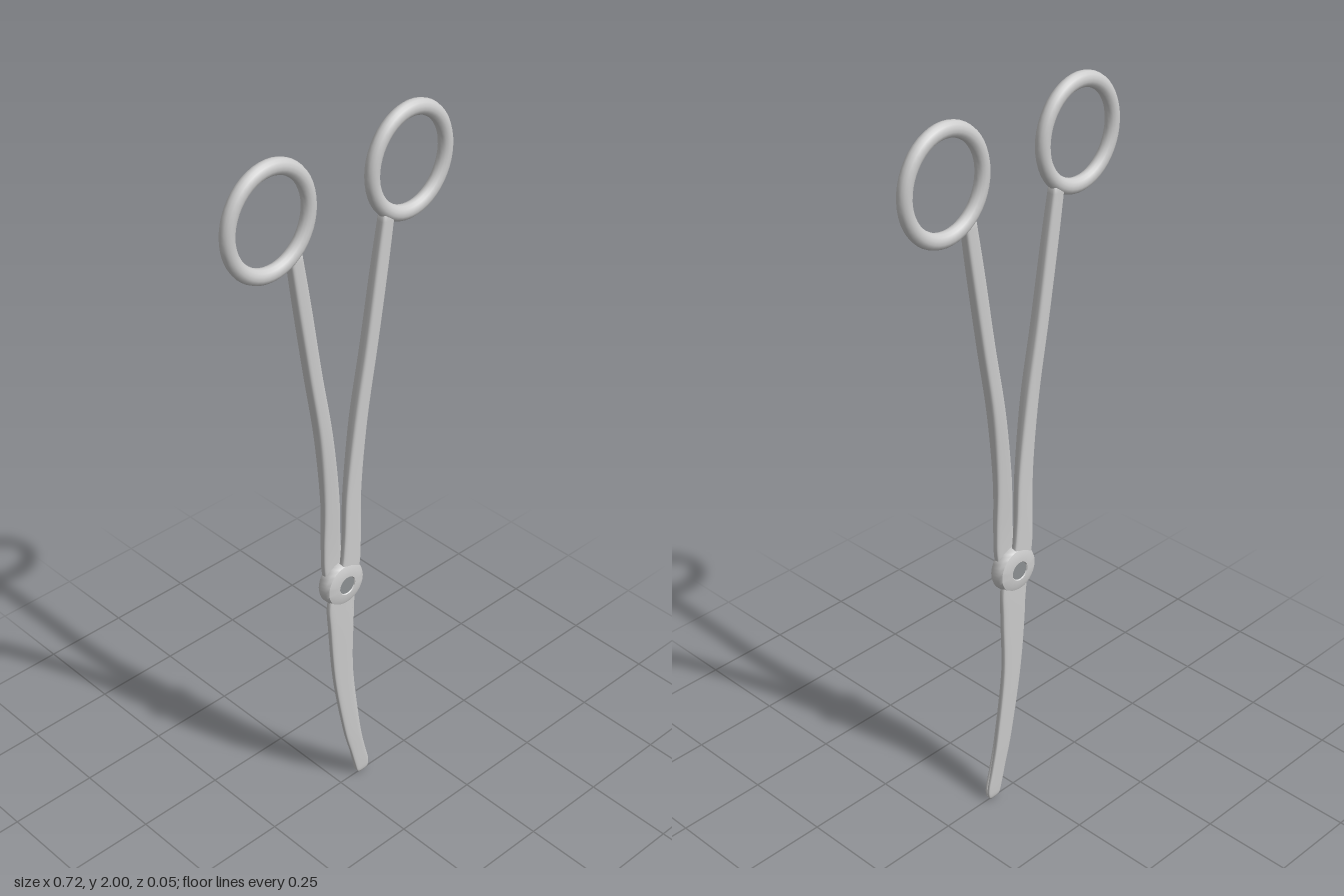
import * as THREE from 'three';
import { toCreasedNormals } from 'three/addons/utils/BufferGeometryUtils.js';

const steel = new THREE.MeshStandardMaterial({ color: 0xcccccc });
const darkSteel = new THREE.MeshStandardMaterial({ color: 0x8c9092 });

// Handle shank, from ring down to pivot: [y, xInner, xOuter, zBack, zFront]
const SHANK = [
  [1.75, 0.13, 0.168, -0.014, 0.014],
  [1.6, 0.104, 0.146, -0.016, 0.016],
  [1.4, 0.072, 0.114, -0.017, 0.017],
  [1.2, 0.036, 0.081, -0.017, 0.017],
  [1.0, 0.008, 0.06, -0.009, 0.018],
  [0.85, -0.002, 0.057, -0.002, 0.02],
  [0.76, -0.015, 0.052, 0, 0.021],
];

// Curved jaw pair, down to the tip: [y, xLow, xHigh, sideways offset of the two jaws, thickness]
const JAW = [
  [0.68, -0.054, 0.052, 0.024, 0.021],
  [0.58, -0.051, 0.053, 0.022, 0.021],
  [0.4, -0.034, 0.05, 0.02, 0.019],
  [0.2, 0.004, 0.073, 0.014, 0.016],
  [0.1, 0.032, 0.09, 0.008, 0.013],
  [0.04, 0.049, 0.102, 0.004, 0.011],
  [0.012, 0.058, 0.1, 0.002, 0.009],
  [0, 0.07, 0.09, 0, 0.004],
];

// Loft rounded-rectangle sections through [y, x0, x1, z0, z1] stations
function loft(stations, rows = 80, sides = 24, power = 4) {
  const xs = new THREE.CatmullRomCurve3(
    stations.map(([y, a, b]) => new THREE.Vector3(a, y, b)), false, 'catmullrom');
  const zs = new THREE.CatmullRomCurve3(
    stations.map(([y, , , a, b]) => new THREE.Vector3(a, y, b)), false, 'catmullrom');
  const round = (v) => Math.sign(v) * Math.abs(v) ** (2 / power);
  const pos = [];
  const index = [];
  for (let i = 0; i <= rows; i++) {
    const x = xs.getPoint(i / rows);
    const z = zs.getPoint(i / rows);
    for (let j = 0; j < sides; j++) {
      const a = (j / sides) * Math.PI * 2;
      pos.push(
        (x.x + x.z) / 2 + (round(Math.cos(a)) * (x.z - x.x)) / 2,
        x.y,
        (z.x + z.z) / 2 + (round(Math.sin(a)) * (z.z - z.x)) / 2);
      if (i < rows) {
        const p = i * sides + j;
        const q = i * sides + ((j + 1) % sides);
        index.push(p, q, p + sides, q, q + sides, p + sides);
      }
    }
  }
  // End caps
  [0, rows].forEach((row) => {
    const [y, x0, x1, z0, z1] = row ? stations[stations.length - 1] : stations[0];
    const centre = pos.length / 3;
    pos.push((x0 + x1) / 2, y, (z0 + z1) / 2);
    for (let j = 0; j < sides; j++) {
      const p = row * sides + j;
      const q = row * sides + ((j + 1) % sides);
      if (row) index.push(centre, p, q);
      else index.push(centre, q, p);
    }
  });
  const geo = new THREE.BufferGeometry();
  geo.setAttribute('position', new THREE.Float32BufferAttribute(pos, 3));
  geo.setIndex(index);
  geo.computeVertexNormals();
  return geo;
}

function mesh(name, geometry, material = steel) {
  const m = new THREE.Mesh(geometry, material);
  m.name = name;
  return m;
}

// One half: finger ring, shank and the jaw it crosses over to
function createHalf(front) {
  const half = new THREE.Group();
  half.name = front ? 'frontHalf' : 'backHalf';
  const stations = [
    ...SHANK.map(([y, a, b, c, d]) => (front ? [y, a, b, c, d] : [y, -b, -a, -d, -c])),
    ...JAW.map(([y, a, b, off, t]) => (front ? [y, a, b - off, 0, t] : [y, a + off, b, -t, 0])),
  ];
  half.add(mesh('shankAndJaw', loft(stations)));

  const ring = mesh('fingerRing', new THREE.TorusGeometry(0.121, 0.019, 14, 48).scale(1, 1.083, 0.95));
  ring.position.set(front ? 0.22 : -0.22, 1.85, 0);
  half.add(ring);
  return half;
}

export function createModel() {
  const model = new THREE.Group();
  model.name = 'curvedClamp';
  model.add(createHalf(true), createHalf(false));

  // Pivot boss with a dished centre on each side
  const profile = [
    [0, -0.022], [0.024, -0.022], [0.027, -0.026], [0.046, -0.025], [0.06, -0.02], [0.065, -0.012],
    [0.065, 0.012], [0.06, 0.02], [0.046, 0.025], [0.027, 0.026], [0.024, 0.022], [0, 0.022],
  ].map(([r, y]) => new THREE.Vector2(r, y));
  const boss = mesh('pivotBoss', toCreasedNormals(new THREE.LatheGeometry(profile, 40), 0.6));
  const screw = mesh('pivotScrew', new THREE.CylinderGeometry(0.025, 0.025, 0.047, 28), darkSteel);
  for (const part of [boss, screw]) {
    part.rotation.x = Math.PI / 2;
    part.position.y = 0.72;
    model.add(part);
  }
  return model;
}
